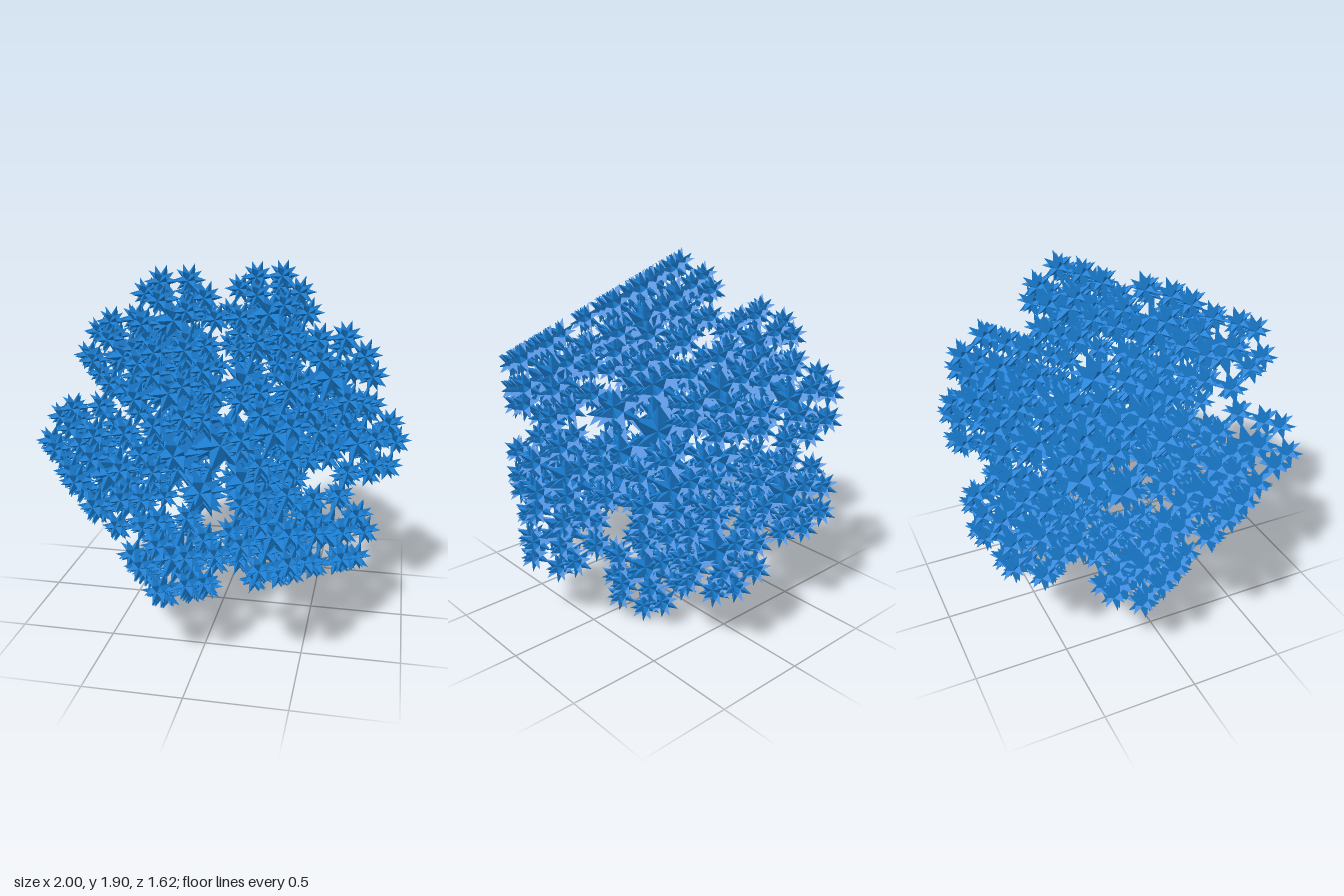
import * as THREE from 'three';

const PHI = (1 + Math.sqrt(5)) / 2;
const CORE = 0.419;          // core radius relative to the spike tips
const STAR = 0.228;          // tip radius of the central star
const ORBIT = 0.332;         // distance of satellites from the central star
const CLUSTER_ORBIT = 0.726; // distance of the outer clusters

// Icosahedron corners: pole on +z, upper ring and lower ring
const ring = (deg, z) => {
  const a = THREE.MathUtils.degToRad(deg);
  return new THREE.Vector3(Math.cos(a) * 0.8944, Math.sin(a) * 0.8944, z);
};

// The 20 core faces, wound outward
function coreFaces() {
  const pole = new THREE.Vector3(0, 0, 1);
  const faces = [];
  for (let k = 0; k < 5; k++) {
    const a = ring(72 * k, 0.4472);
    const b = ring(72 * (k + 1), 0.4472);
    const low = ring(72 * k + 36, -0.4472);
    for (const f of [[pole, a, b], [a, low, b]]) {
      faces.push(f);
      faces.push(f.map((v) => v.clone().negate()).reverse());
    }
  }
  return faces;
}

const faces = coreFaces();
// Spike directions, also used to place satellites and clusters
const directions = faces.map(([a, b, c]) => a.clone().add(b).add(c).normalize());

// Unit star: a three-sided spike on every core face
function starGeometry() {
  const points = [];
  faces.forEach((f, i) => {
    const base = f.map((v) => v.clone().multiplyScalar(CORE));
    for (let k = 0; k < 3; k++) points.push(base[k], base[(k + 1) % 3], directions[i]);
  });
  const geometry = new THREE.BufferGeometry().setFromPoints(points);
  geometry.computeVertexNormals();
  return geometry;
}

export function createModel() {
  const model = new THREE.Group();
  model.name = 'starFractal';
  const geometry = starGeometry();
  const material = new THREE.MeshStandardMaterial({ color: 0x1a7fd4, flatShading: true });

  const addStar = (parent, name, position, size) => {
    const star = new THREE.Mesh(geometry, material);
    star.name = name;
    star.position.copy(position);
    star.scale.setScalar(size);
    parent.add(star);
  };

  // One star with twenty smaller satellites
  const addCluster = (name, position, scale) => {
    const cluster = new THREE.Group();
    cluster.name = name;
    cluster.position.copy(position);
    cluster.scale.setScalar(scale);
    addStar(cluster, 'coreStar', new THREE.Vector3(), STAR);
    for (const d of directions) {
      addStar(cluster, 'satelliteStar', d.clone().multiplyScalar(ORBIT), STAR / PHI);
    }
    model.add(cluster);
  };

  // Large central cluster and twenty smaller ones around it
  const centre = new THREE.Vector3(0, 0.951, 0);
  addCluster('centralCluster', centre, 1);
  for (const d of directions) {
    addCluster('outerCluster', d.clone().multiplyScalar(CLUSTER_ORBIT).add(centre), 1 / PHI);
  }
  return model;
}
